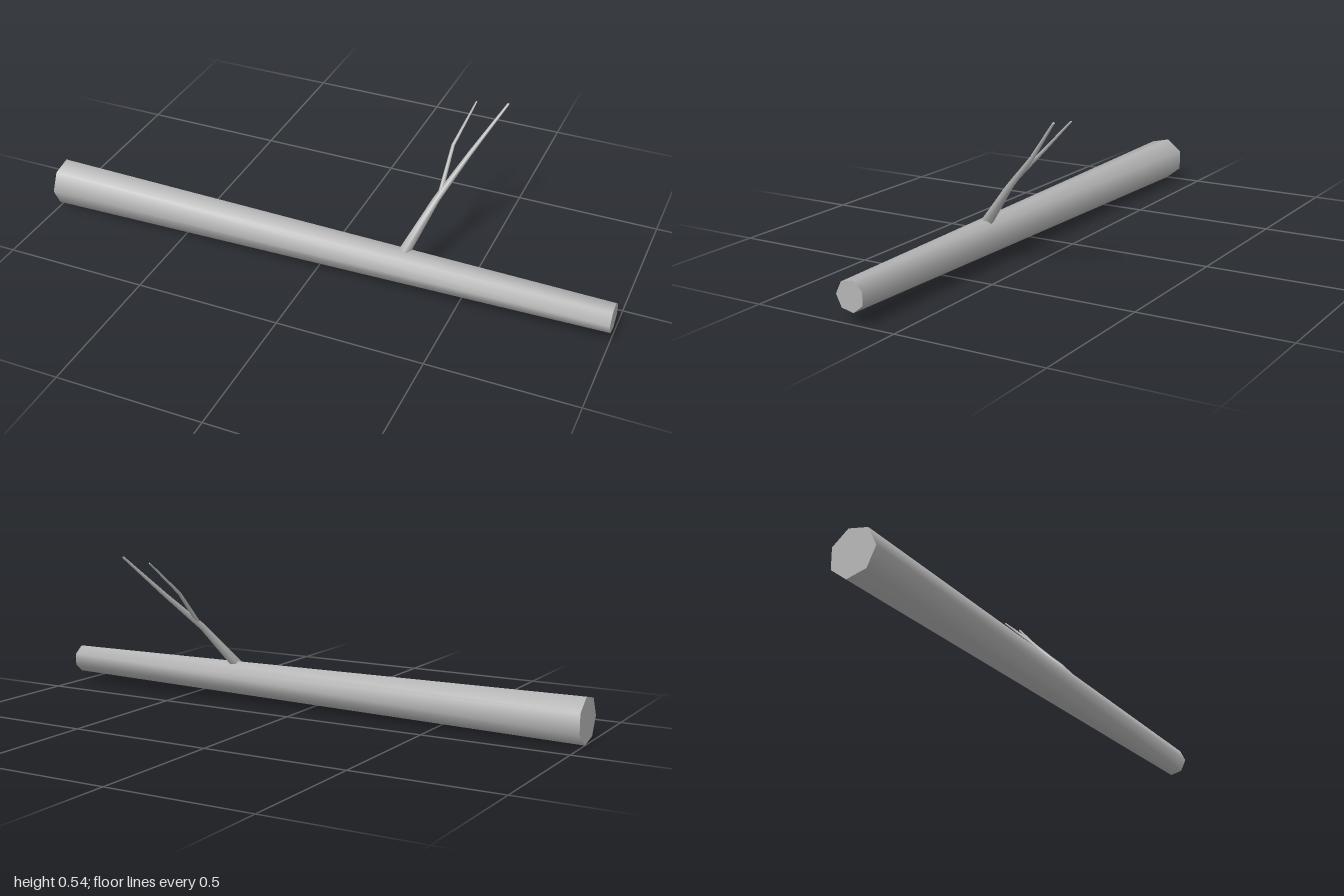
import * as THREE from 'three';

const bark = new THREE.MeshStandardMaterial({ color: 0xb4b4b4 });
bark.name = 'bark grey';

// Tapered limb: one ring of points around each [x, y, z, radius] node, closed with flat caps.
function limb(name, nodes, sides) {
  const centres = nodes.map(([x, y, z]) => new THREE.Vector3(x, y, z));
  const last = nodes.length - 1;
  const pos = [], index = [];
  const rings = centres.map((c, i) => {
    const dir = centres[Math.min(i + 1, last)].clone().sub(centres[Math.max(i - 1, 0)]).normalize();
    const u = new THREE.Vector3(0, 0, 1).addScaledVector(dir, -dir.z).normalize();
    const v = dir.clone().cross(u);
    return Array.from({ length: sides }, (_, k) => {
      const a = (k / sides) * Math.PI * 2;
      return c.clone().addScaledVector(u, nodes[i][3] * Math.cos(a)).addScaledVector(v, nodes[i][3] * Math.sin(a));
    });
  });
  rings.forEach((ring) => ring.forEach((p) => pos.push(p.x, p.y, p.z)));
  for (let i = 0; i < last; i++) {
    for (let k = 0; k < sides; k++) {
      const a = i * sides + k, b = i * sides + ((k + 1) % sides);
      index.push(a, b, b + sides, a, b + sides, a + sides);
    }
  }
  // Caps use their own points so their edges stay sharp
  [0, last].forEach((i) => {
    const start = pos.length / 3;
    rings[i].forEach((p) => pos.push(p.x, p.y, p.z));
    for (let k = 1; k < sides - 1; k++) {
      index.push(start, ...(i ? [start + k, start + k + 1] : [start + k + 1, start + k]));
    }
  });
  const geo = new THREE.BufferGeometry();
  geo.setAttribute('position', new THREE.Float32BufferAttribute(pos, 3));
  geo.setIndex(index);
  geo.computeVertexNormals();
  const mesh = new THREE.Mesh(geo, bark);
  mesh.name = name;
  return mesh;
}

export function createModel() {
  const group = new THREE.Group();
  group.name = 'fallenLog';
  group.add(
    // Seven-sided log lying along x
    limb('trunk', [[-1, 0.081, 0.153, 0.08], [1, 0.088, 0.153, 0.05]], 7),
    // Bent side branch
    limb('branch', [
      [0.298, 0.134, 0.149, 0.02],
      [0.358, 0.28, 0.024, 0.012],
      [0.425, 0.402, -0.102, 0.008],
      [0.507, 0.541, -0.229, 0.004],
    ], 5),
    // Thin twig forking off the branch
    limb('twig', [
      [0.366, 0.298, 0.008, 0.008],
      [0.364, 0.415, -0.107, 0.006],
      [0.399, 0.526, -0.226, 0.003],
    ], 5),
  );
  return group;
}
